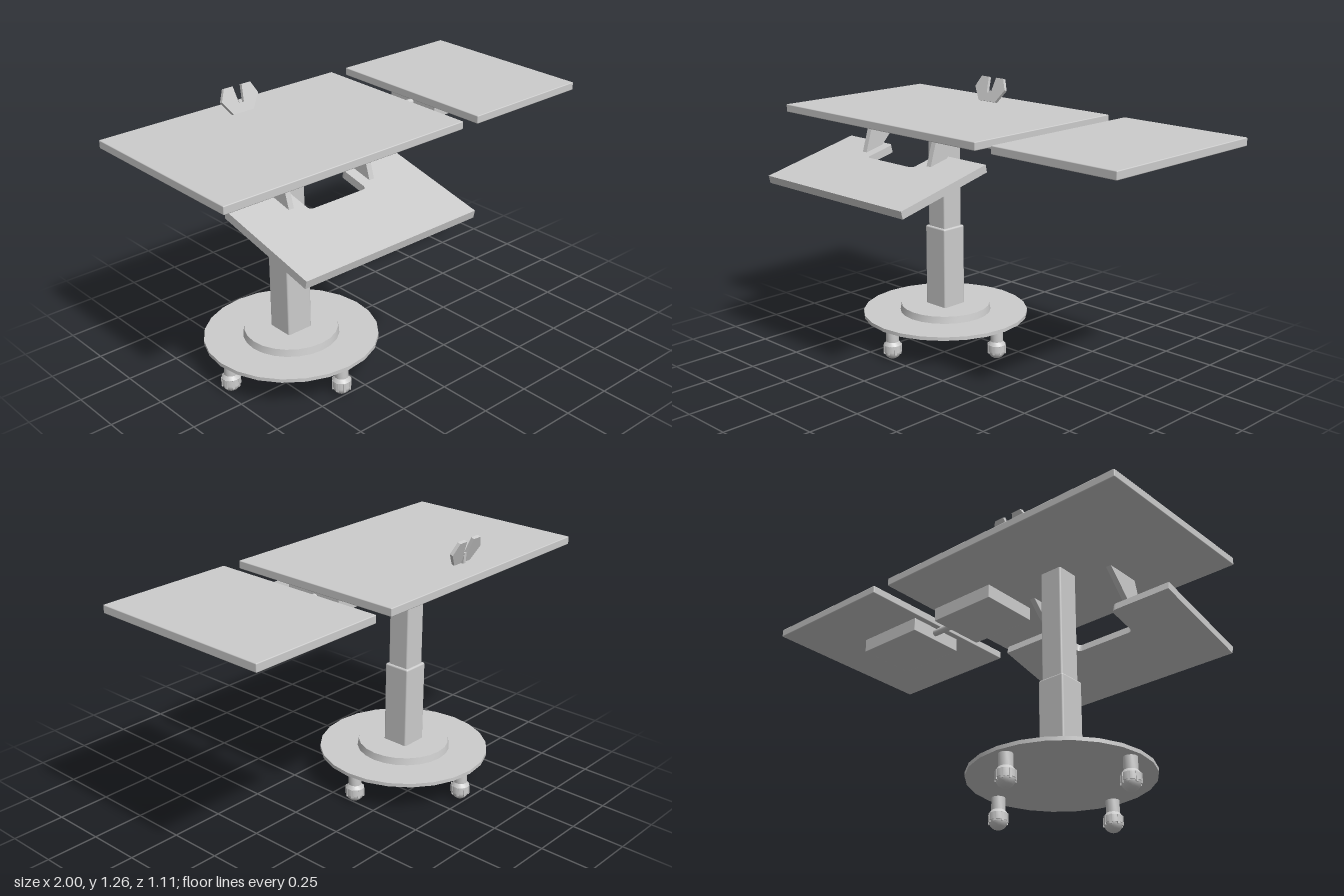
import * as THREE from 'three';
import { RoundedBoxGeometry } from 'three/addons/geometries/RoundedBoxGeometry.js';
import { toCreasedNormals } from 'three/addons/utils/BufferGeometryUtils.js';

const CX = -0.366, CZ = -0.121; // column axis

export function createModel() {
  const model = new THREE.Group();
  const mat = new THREE.MeshStandardMaterial({ color: 0xcccccc });

  const add = (name, geo, x = 0, y = 0, z = 0, parent = model) => {
    const m = new THREE.Mesh(geo, mat);
    m.name = name;
    m.position.set(x, y, z);
    parent.add(m);
    return m;
  };
  // box given by its limits on each axis, with slightly eased edges
  const block = (name, [x0, x1], [y0, y1], [z0, z1], r = 0.004) =>
    add(name, new RoundedBoxGeometry(x1 - x0, y1 - y0, z1 - z0, 2, r),
      (x0 + x1) / 2, (y0 + y1) / 2, (z0 + z1) / 2);
  const outline = (pts) => new THREE.Shape(pts.map(([x, y]) => new THREE.Vector2(x, y)));
  const plate = (shape, depth) =>
    new THREE.ExtrudeGeometry(shape, { depth, bevelEnabled: false, curveSegments: 6 });

  // table tops
  block('mainTop', [-1, 0.265], [1.104, 1.141], [-0.555, 0.31]);
  block('sideTop', [0.355, 1], [1.104, 1.141], [-0.555, 0.31]);

  // hinge blocks and the rod joining the two tops
  block('mainHingeBlock', [-0.085, 0.252], [1.04, 1.106], [-0.265, 0.02], 0.002);
  block('sideHingeBlock', [0.382, 0.72], [1.04, 1.106], [-0.265, 0.02], 0.002);
  const rod = add('hingeRod', new THREE.CylinderGeometry(0.016, 0.016, 0.16, 16), 0.317, 1.078, -0.13);
  rod.rotation.z = Math.PI / 2;

  // telescopic column
  const column = (name, w, y0, y1) =>
    block(name, [CX - w / 2, CX + w / 2], [y0, y1], [CZ - w / 2, CZ + w / 2], 0.008);
  column('lowerColumn', 0.131, 0.18, 0.583);
  column('upperColumn', 0.11, 0.56, 1.112);

  // round base
  const disc = (name, rTop, rBottom, y0, y1) =>
    add(name, toCreasedNormals(new THREE.CylinderGeometry(rTop, rBottom, y1 - y0, 24), 0.5),
      CX, (y0 + y1) / 2, CZ);
  disc('basePlate', 0.397, 0.397, 0.143, 0.16);
  disc('baseCollar', 0.213, 0.219, 0.159, 0.193);

  // four ball casters, each a stem with a flared hood, clips and a ball
  const hood = [[0, 0.145], [0.03, 0.145], [0.03, 0.086], [0.042, 0.07], [0.043, 0.038], [0.034, 0.036]]
    .reverse().map(([r, y]) => new THREE.Vector2(r, y));
  const hoodGeo = toCreasedNormals(new THREE.LatheGeometry(hood, 16), 0.6);
  const ballGeo = new THREE.SphereGeometry(0.041, 16, 12);
  const clipGeo = new THREE.BoxGeometry(0.008, 0.042, 0.01);
  for (let i = 0; i < 4; i++) {
    const a = i * Math.PI / 2;
    const caster = new THREE.Group();
    caster.name = 'caster';
    caster.position.set(CX + 0.346 * Math.cos(a), 0, CZ + 0.346 * Math.sin(a));
    add('casterHood', hoodGeo, 0, 0, 0, caster);
    add('casterBall', ballGeo, 0, 0.041, 0, caster);
    for (let k = 0; k < 8; k++) {
      const b = (k + 0.5) * Math.PI / 4;
      const clip = add('casterClip', clipGeo, 0.04 * Math.cos(b), 0.049, 0.04 * Math.sin(b), caster);
      clip.rotation.y = -b;
    }
    model.add(caster);
  }

  // sloping keyboard tray, notched at its back edge
  const W = 0.454, D = 0.508, N = 0.153, B = D - 0.16, r = 0.022;
  const trayShape = new THREE.Shape();
  trayShape.moveTo(-W, 0);
  trayShape.lineTo(W, 0);
  trayShape.lineTo(W, D);
  trayShape.lineTo(N + r, D);
  trayShape.quadraticCurveTo(N, D, N, D - r);
  trayShape.lineTo(N, B + r);
  trayShape.quadraticCurveTo(N, B, N - r, B);
  trayShape.lineTo(-N + r, B);
  trayShape.quadraticCurveTo(-N, B, -N, B + r);
  trayShape.lineTo(-N, D - r);
  trayShape.quadraticCurveTo(-N, D, -N - r, D);
  trayShape.lineTo(-W, D);
  const tray = add('keyboardTray', plate(trayShape, 0.036).rotateX(-Math.PI / 2), CX, 0.828, 0.551);
  tray.rotation.x = 0.231;

  // brackets hanging the tray from the main top, drawn as (z, y)
  const bracketShape = outline([[0.134, 1.108], [-0.045, 1.108], [0.088, 0.97], [0.184, 0.945]]);
  const bracketGeo = plate(bracketShape, 0.026).translate(0, 0, -0.013).rotateY(-Math.PI / 2);
  for (const side of [-1, 1]) add('trayBracket', bracketGeo, CX + side * 0.217, 0, 0);

  // winged page rest leaning back on the main top
  const half = [[0.054, 0], [0.098, 0.064], [0.071, 0.118], [0.024, 0.118], [0.013, 0.042]];
  const restShape = outline([...half, ...half.map(([x, y]) => [-x, y]).reverse()]);
  const rest = add('pageRest', plate(restShape, 0.016), CX, 1.139, -0.42);
  rest.rotation.x = -0.35;
  // small prop behind the rest
  const propShape = outline([[-0.41, 1.139], [-0.433, 1.139], [-0.437, 1.19], [-0.428, 1.19]]);
  add('restProp', plate(propShape, 0.016).translate(0, 0, -0.008).rotateY(-Math.PI / 2), CX, 0, 0)
    .material = Object.assign(mat.clone(), { side: THREE.DoubleSide });

  return model;
}
